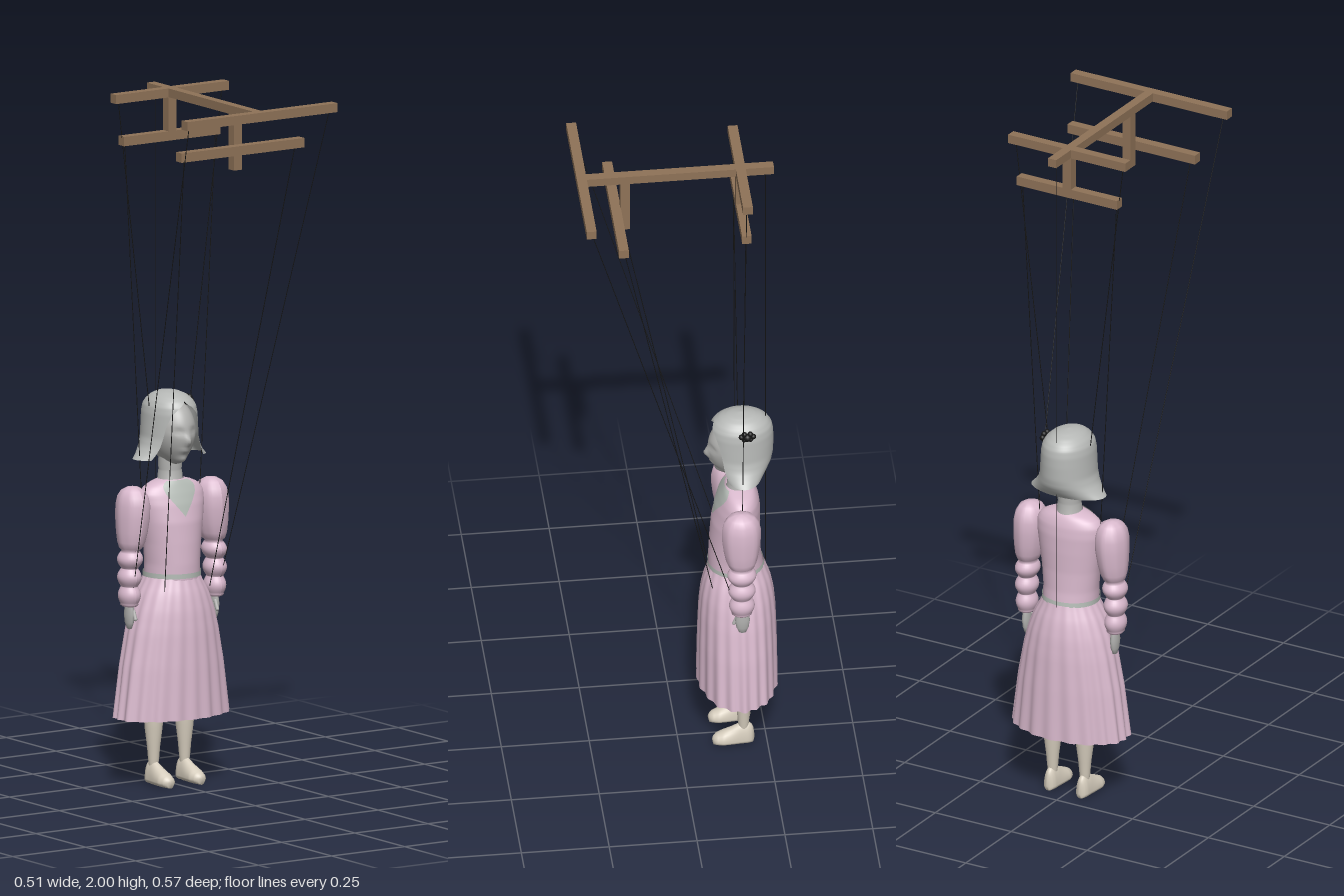
import * as THREE from 'three';
import { mergeVertices } from 'three/addons/utils/BufferGeometryUtils.js';

const mat = (name, color, side = THREE.FrontSide) => {
  const m = new THREE.MeshStandardMaterial({ color, side });
  m.name = name;
  return m;
};

// Linear lookup in rows of [y, a, b, c], listed from low y to high y
function row(rows, y) {
  let i = 0;
  while (i < rows.length - 2 && y > rows[i + 1][0]) i++;
  const p = rows[i], q = rows[i + 1];
  const t = Math.min(1, Math.max(0, (y - p[0]) / (q[0] - p[0])));
  return p.map((v, k) => v + (q[k] - v) * t);
}

// Smooth surface from a rule f(u, v) -> [x, y, z]
function surface(nu, nv, f) {
  const pos = [], idx = [];
  for (let j = 0; j <= nv; j++)
    for (let i = 0; i <= nu; i++) pos.push(...f(i / nu, j / nv));
  for (let j = 0; j < nv; j++)
    for (let i = 0; i < nu; i++) {
      const a = j * (nu + 1) + i, b = a + nu + 1;
      idx.push(a, a + 1, b, a + 1, b + 1, b);
    }
  let g = new THREE.BufferGeometry();
  g.setAttribute('position', new THREE.Float32BufferAttribute(pos, 3));
  g.setIndex(idx);
  g = mergeVertices(g, 1e-5);
  g.computeVertexNormals();
  return g;
}

const bump = (x, y, cx, cy, sx, sy) => Math.exp(-(((x - cx) / sx) ** 2) - ((y - cy) / sy) ** 2);

export function createModel() {
  const model = new THREE.Group();
  model.name = 'marionette';
  const wood = mat('wood', 0x8f7358);
  const thread = mat('thread', 0x161616);
  const hairMat = mat('hair', 0xb6b8b6, THREE.DoubleSide);
  const skin = mat('skin', 0xb2b2b0);
  const pink = mat('dress pink', 0xd9b9cd, THREE.DoubleSide);
  const trim = mat('trim', 0xb6bdb7, THREE.DoubleSide);
  const cream = mat('leg cream', 0xd6cdbd);

  const add = (name, geo, material, x = 0, y = 0, z = 0) => {
    const m = new THREE.Mesh(geo, material);
    m.name = name;
    m.position.set(x, y, z);
    model.add(m);
    return m;
  };
  const lathe = (pts, n = 28) => new THREE.LatheGeometry(pts.map(p => new THREE.Vector2(p[0], p[1])), n);

  // Wooden control frame
  const bar = (name, w, h, d, x, y, z) => add(name, new THREE.BoxGeometry(w, h, d), wood, x, y, z);
  bar('controlSpine', 0.027, 0.025, 0.555, 0, 1.9875, 0.003);
  bar('frontBar', 0.514, 0.026, 0.028, 0, 1.987, 0.272);
  bar('rearBar', 0.386, 0.026, 0.028, 0, 1.987, -0.18);
  bar('frontPost', 0.027, 0.162, 0.027, 0, 1.896, 0.149);
  bar('lowerFrontBar', 0.42, 0.027, 0.028, 0, 1.876, 0.175);
  bar('rearPost', 0.027, 0.125, 0.027, 0, 1.913, -0.18);
  bar('lowerRearBar', 0.33, 0.027, 0.027, 0, 1.863, -0.18);

  // Strings
  const string = (name, a, b) => {
    const p = new THREE.Vector3(...a), q = new THREE.Vector3(...b);
    const s = add(name, new THREE.CylinderGeometry(0.0012, 0.0012, p.distanceTo(q), 6), thread);
    s.position.copy(p).add(q).multiplyScalar(0.5);
    s.quaternion.setFromUnitVectors(new THREE.Vector3(0, 1, 0), q.sub(p).normalize());
  };
  string('backString', [0, 1.98, -0.252], [0, 0.6, -0.252]);
  for (const s of [1, -1]) {
    string('handString', [s * 0.24, 1.98, 0.27], [s * 0.145, 0.52, -0.16]);
    string('kneeString', [s * 0.19, 1.87, 0.172], [s * 0.077, 0.57, -0.092]);
    string('headString', [s * 0.177, 1.98, -0.178], [s * 0.07, 1.09, -0.18]);
    string('shoulderString', [s * 0.155, 1.86, -0.178], [s * 0.1, 0.84, -0.175]);
  }

  // Head with nose, eye sockets, lips and a narrowing jaw
  const head = new THREE.SphereGeometry(1, 56, 44);
  const hp = head.attributes.position;
  for (let i = 0; i < hp.count; i++) {
    const low = Math.max(0, -hp.getY(i));
    let x = hp.getX(i) * 0.061 * (1 - 0.18 * low);
    const y = hp.getY(i) * 0.095;
    let z = hp.getZ(i) * 0.085;
    if (hp.getZ(i) > 0) {
      z += 0.014 * bump(x, y, 0, -0.02, 0.009, 0.016) + 0.006 * bump(x, y, 0, -0.048, 0.016, 0.007);
      z += 0.014 * bump(x, y, 0, -0.08, 0.02, 0.014);
      z -= 0.007 * bump(Math.abs(x), y, 0.024, 0.008, 0.013, 0.009);
      z += 0.003 * bump(Math.abs(x), y, 0.024, 0.006, 0.007, 0.004);
    }
    hp.setXYZ(i, x, y, z);
  }
  head.computeVertexNormals();
  add('head', head, skin, 0, 1.014, -0.172);
  add('neck', lathe([[0.046, 0.855], [0.037, 0.87], [0.034, 0.9], [0.032, 0.905], [0.034, 0.91], [0.033, 0.95]]),
    skin, 0, 0, -0.178);

  // Bobbed hair, parted at the front and flared at the sides
  const hairRows = [ // y, side radius, depth radius, half angle of the opening
    [0.94, 0.118, 0.062, 0.85], [0.955, 0.103, 0.074, 0.87], [0.975, 0.088, 0.086, 0.89],
    [1.0, 0.079, 0.091, 0.88], [1.04, 0.076, 0.092, 0.78], [1.07, 0.074, 0.091, 0.6],
    [1.09, 0.07, 0.087, 0.3], [1.105, 0.061, 0.077, 0], [1.118, 0.046, 0.06, 0],
    [1.127, 0.026, 0.036, 0], [1.131, 0, 0, 0]];
  add('hair', surface(56, 40, (u, v) => {
    const [y, rx, rz, open] = row(hairRows, 0.94 + 0.191 * (1 - (1 - v) ** 1.6));
    const a = open + u * (2 * Math.PI - 2 * open);
    return [Math.sin(a) * rx, y, -0.182 + Math.cos(a) * rz];
  }), hairMat);

  // Dark hair clip on the left side
  for (let i = 0; i < 6; i++) {
    const a = i * Math.PI / 3;
    add('hairClip', new THREE.SphereGeometry(0.008, 12, 8), thread,
      0.071, 1.093 + Math.sin(a) * 0.01, -0.192 + Math.cos(a) * 0.017);
  }
  add('hairClipCentre', new THREE.SphereGeometry(0.012, 12, 8), thread, 0.071, 1.09, -0.192);

  // Bodice, with a pale neckline panel lying just over it
  const bodiceRows = [ // y, side radius, front depth, back depth
    [0.595, 0.081, 0.083, 0.073], [0.64, 0.081, 0.083, 0.066], [0.7, 0.087, 0.08, 0.063],
    [0.76, 0.096, 0.075, 0.064], [0.81, 0.104, 0.063, 0.063], [0.84, 0.103, 0.052, 0.059],
    [0.86, 0.088, 0.043, 0.052], [0.873, 0.058, 0.037, 0.044], [0.878, 0.036, 0.033, 0.036]];
  const bodice = (a, y, grow = 0) => {
    const [, rx, front, back] = row(bodiceRows, y);
    const c = Math.cos(a);
    return [Math.sin(a) * (rx + grow), y + grow, -0.172 + c * ((c > 0 ? front : back) + grow)];
  };
  add('bodice', surface(56, 40, (u, v) => bodice(u * Math.PI * 2, 0.595 + v * 0.283)), pink);
  add('necklinePanel', surface(14, 16, (u, v) =>
    bodice((u - 0.5) * 1.5 * v, 0.775 + v * 0.1, 0.0015)), trim);
  add('sash', surface(56, 4, (u, v) => bodice(u * Math.PI * 2, 0.598 + v * 0.014, 0.003)), trim);

  // Gathered skirt, open below, with pleats that deepen to the hem
  const skirtRows = [ // y, side radius, depth radius
    [0.2, 0.18, 0.113], [0.35, 0.16, 0.111], [0.45, 0.141, 0.108], [0.51, 0.125, 0.103],
    [0.56, 0.105, 0.093], [0.59, 0.087, 0.082], [0.604, 0.08, 0.078]];
  add('skirt', surface(180, 24, (u, v) => {
    const a = u * Math.PI * 2;
    const [y, rx, rz] = row(skirtRows, 0.2 + v * 0.404);
    const k = 1 + 0.025 * (1 - 0.7 * v) * (Math.cos(a * 20 + 0.6 * Math.sin(3 * a)) + 0.4 * Math.sin(a * 9));
    return [Math.sin(a) * rx * k, y, -0.17 + Math.cos(a) * rz * k];
  }), pink);

  // Puffed sleeves: a large shoulder puff and three small ones
  const sleeve = [[0.02, 0.525], [0.025, 0.53]];
  for (let k = 0; k < 3; k++)
    for (let i = 0; i <= 8; i++)
      sleeve.push([0.023 + (0.008 + k * 0.002) * Math.sin(i * Math.PI / 8), 0.531 + k * 0.052 + i * 0.0063]);
  sleeve.push([0.031, 0.692], [0.037, 0.71], [0.042, 0.74], [0.046, 0.78], [0.046, 0.815],
    [0.041, 0.84], [0.031, 0.857], [0.016, 0.866], [0, 0.868]);
  for (const s of [1, -1]) {
    const geo = lathe(sleeve, 32);
    const p = geo.attributes.position;
    for (let i = 0; i < p.count; i++) {
      const y = p.getY(i);
      const a = Math.atan2(p.getX(i), p.getZ(i));
      const fold = y > 0.7 ? 1 + 0.02 * Math.cos(8 * a) : 1;
      p.setX(i, p.getX(i) * fold + s * (0.146 - 0.012 * THREE.MathUtils.smoothstep(y, 0.6, 0.82)));
      p.setZ(i, p.getZ(i) * fold * 1.18);
    }
    geo.computeVertexNormals();
    add('sleeve', geo, pink, 0, 0, -0.168);

    // Mitten hand with thumb
    const hand = add('hand', lathe([[0, -0.045], [0.008, -0.042], [0.014, -0.025], [0.017, 0], [0.014, 0.022], [0.012, 0.045]], 18),
      skin, s * 0.145, 0.502, -0.17);
    hand.scale.set(0.7, 1, 1.25);
    const thumb = add('thumb', new THREE.CapsuleGeometry(0.0055, 0.024, 4, 10), skin, s * 0.14, 0.5, -0.151);
    thumb.rotation.x = -0.4;

    // Leg
    add('leg', lathe([[0.013, 0.05], [0.016, 0.075], [0.019, 0.11], [0.026, 0.165], [0.028, 0.21],
      [0.025, 0.28], [0.031, 0.4], [0.034, 0.55]], 22), cream, s * 0.053, 0, -0.183);

    // Shoe, swept from heel to toe
    const shoeRows = [ // position, half width, height
      [0, 0, 0.04], [0.06, 0.014, 0.06], [0.15, 0.019, 0.07], [0.35, 0.021, 0.068], [0.55, 0.024, 0.054],
      [0.75, 0.026, 0.043], [0.9, 0.02, 0.034], [0.97, 0.011, 0.026], [1, 0, 0.018]];
    add('shoe', surface(24, 30, (u, v) => {
      const [t, w, h] = row(shoeRows, v);
      const a = u * Math.PI * 2, c = Math.cos(a);
      const sole = 0.012 * Math.max(0, 1 - v * 2) * (v > 0.15 ? 1 : 0.5);
      const y = c > 0 ? 0.015 + c * (h - 0.015) : 0.015 + c * 0.015;
      return [-Math.sin(a) * w, w === 0 ? 0.018 : Math.max(y, sole * 0.5), -0.215 + t * 0.122];
    }), cream, s * 0.053).material.side = THREE.DoubleSide;
  }
  return model;
}
